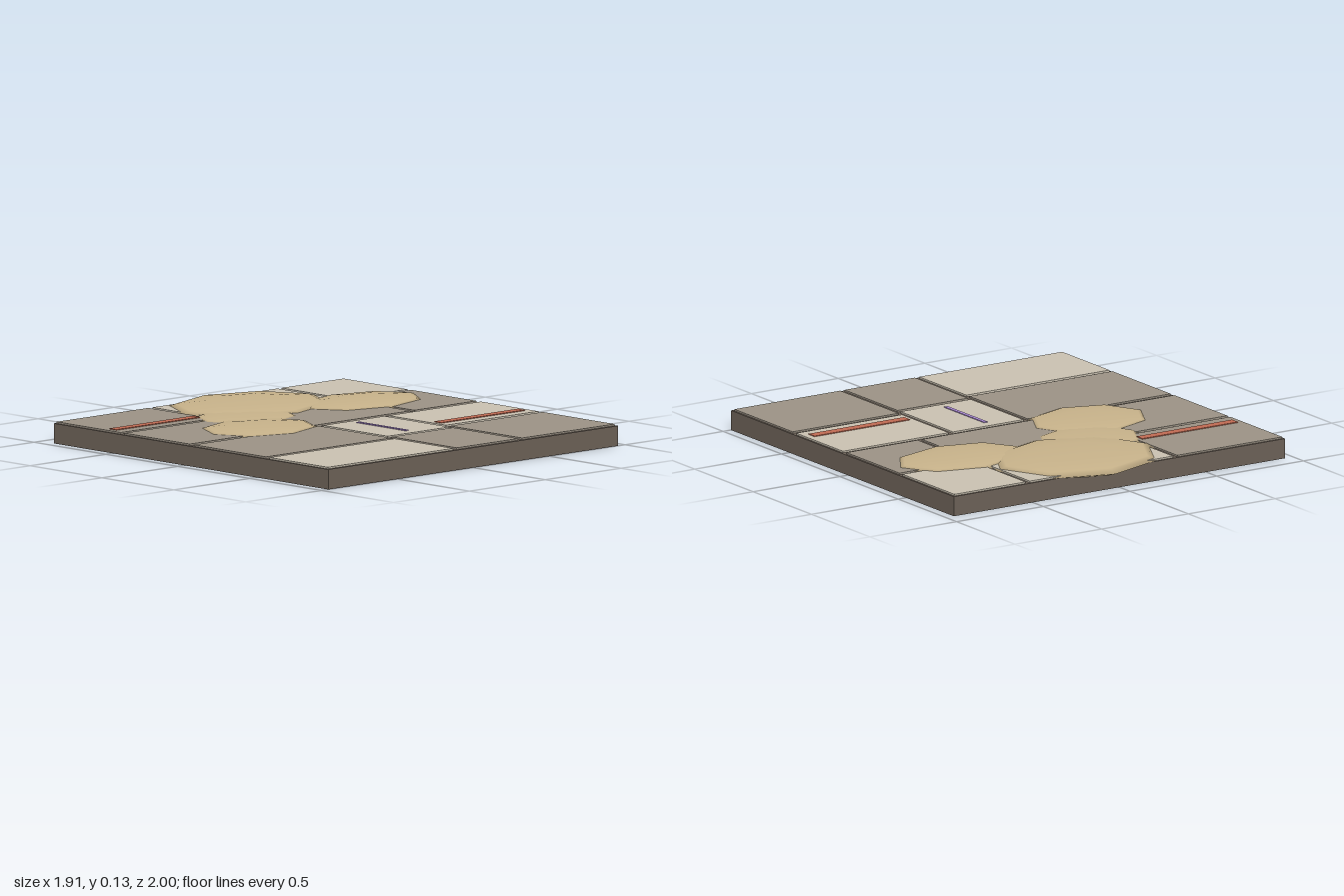
import * as THREE from 'three';

const material = (name, color) => {
  const m = new THREE.MeshStandardMaterial({ color });
  m.name = name;
  return m;
};

export function createModel() {
  const group = new THREE.Group();
  const mortar = material('mortar', 0x6b6056);
  const lightStone = material('light stone', 0xc8c0b0);
  const darkStone = material('dark stone', 0x9a9184);
  const sand = material('sand', 0xc6b189);
  const red = material('red paint', 0xbf6a52);
  const purple = material('purple paint', 0xaa8ad2);

  // Box given by its limits on each axis
  const slab = (name, mat, x0, x1, y0, y1, z0, z1) => {
    const mesh = new THREE.Mesh(new THREE.BoxGeometry(x1 - x0, y1 - y0, z1 - z0), mat);
    mesh.position.set((x0 + x1) / 2, (y0 + y1) / 2, (z0 + z1) / 2);
    mesh.name = name;
    group.add(mesh);
  };

  // Ground block whose top shows as joints between the pavers
  slab('base', mortar, -0.955, 0.955, 0, 0.097, -0.91, 1);

  // Pavers: material, x range, z range
  const pavers = [
    [darkStone, -0.945, -0.34, -0.9, -0.455],
    [lightStone, -0.315, 0.51, -0.9, -0.455],
    [lightStone, 0.535, 0.945, -0.9, -0.455],
    [darkStone, -0.945, -0.34, -0.43, 0.025],
    [darkStone, -0.315, 0.51, -0.43, 0.025],
    [darkStone, 0.535, 0.945, -0.43, 0.025],
    [darkStone, -0.945, -0.12, 0.055, 0.555],
    [lightStone, -0.945, -0.12, 0.58, 0.985],
    [lightStone, -0.095, 0.31, 0.055, 0.505],
    [darkStone, -0.095, 0.31, 0.53, 0.985],
    [lightStone, 0.335, 0.945, 0.055, 0.455],
    [darkStone, 0.335, 0.945, 0.485, 0.985],
  ];
  pavers.forEach(([mat, x0, x1, z0, z1], i) =>
    slab(`paver${i + 1}`, mat, x0, x1, 0.09, 0.105, z0, z1));

  // Painted stripes
  slab('backRedStripe', red, -0.915, -0.365, 0.104, 0.109, -0.565, -0.515);
  slab('frontRedStripe', red, 0.36, 0.91, 0.104, 0.109, 0.35, 0.4);
  slab('purpleStripe', purple, 0.075, 0.095, 0.104, 0.109, 0.11, 0.45);

  // Sand drifts: flattened eight-sided ellipsoids (x, z, radii x, y, z)
  const drifts = [
    [0.08, -0.64, 0.45, 0.034, 0.36],
    [0.54, -0.35, 0.37, 0.027, 0.24],
    [-0.36, -0.11, 0.325, 0.025, 0.26],
    [-0.17, -0.4, 0.28, 0.021, 0.24],
  ];
  drifts.forEach(([x, z, rx, ry, rz], i) => {
    const geometry = new THREE.SphereGeometry(1, 8, 6);
    geometry.scale(rx, ry, rz);
    const drift = new THREE.Mesh(geometry, sand);
    drift.position.set(x, 0.098, z);
    drift.name = `sandDrift${i + 1}`;
    group.add(drift);
  });

  return group;
}
